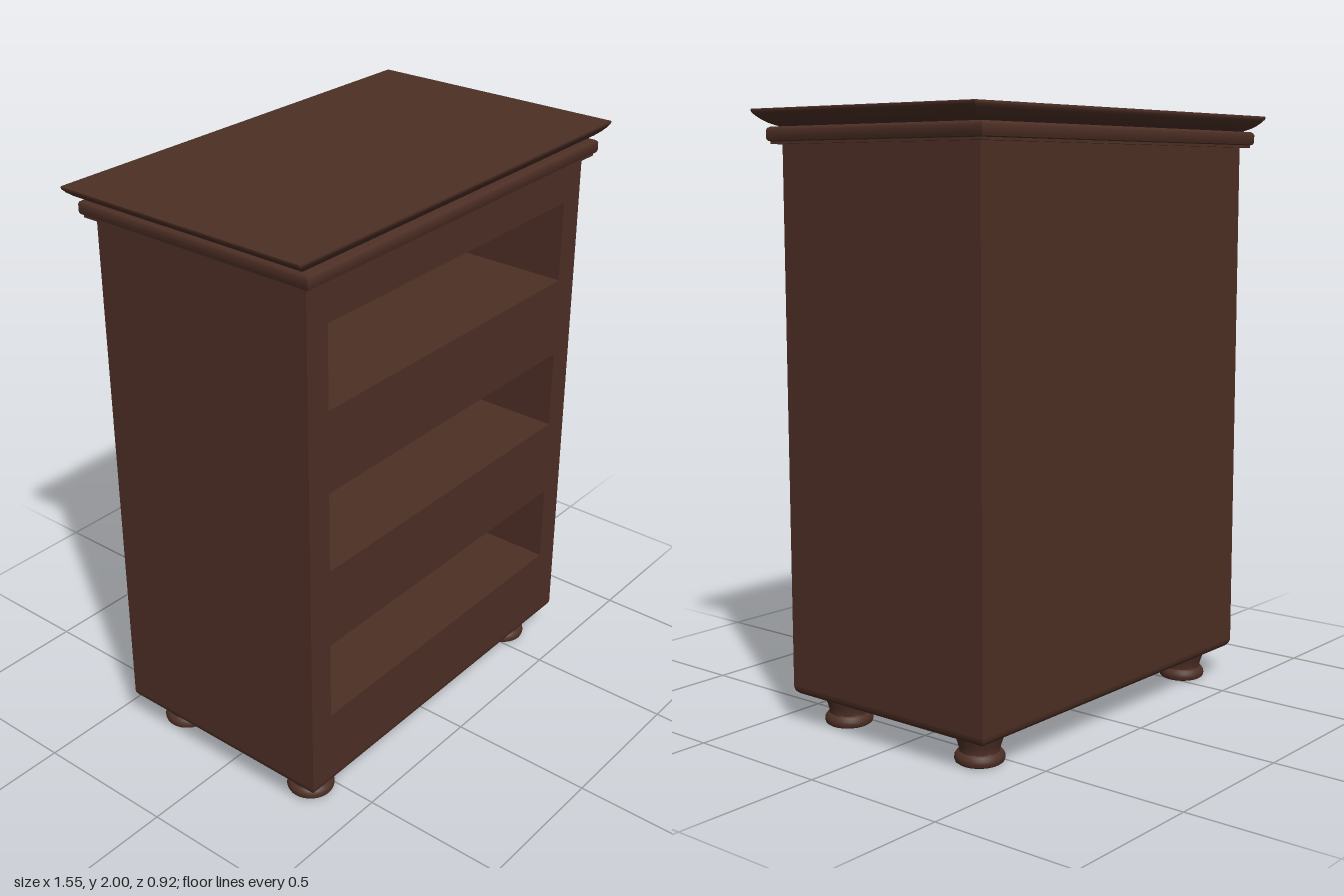
import * as THREE from 'three';
import { toCreasedNormals } from 'three/addons/utils/BufferGeometryUtils.js';

// Mitred rectangular moulding: profile rows are [half width, half depth, y], bottom to top.
function moulding(rows) {
  const corners = [[-1, 1], [1, 1], [1, -1], [-1, -1]];
  const pos = [], index = [];
  for (const [w, d, y] of rows) for (const [sx, sz] of corners) pos.push(sx * w, y, sz * d);
  for (let r = 0; r < rows.length - 1; r++) {
    for (let i = 0; i < 4; i++) {
      const a = r * 4 + i, b = r * 4 + (i + 1) % 4;
      index.push(a, b, b + 4, a, b + 4, a + 4);
    }
  }
  const t = (rows.length - 1) * 4;
  index.push(0, 2, 1, 0, 3, 2, t, t + 1, t + 2, t, t + 2, t + 3);
  const g = new THREE.BufferGeometry();
  g.setAttribute('position', new THREE.Float32BufferAttribute(pos, 3));
  g.setIndex(index);
  return toCreasedNormals(g, 0.7);
}

export function createModel() {
  const model = new THREE.Group();
  model.name = 'chestOfDrawers';
  const wood = new THREE.MeshStandardMaterial({ color: 0x4d2f25 });
  wood.name = 'darkWood';
  const add = (name, geometry, x = 0, y = 0, z = 0) => {
    const mesh = new THREE.Mesh(geometry, wood);
    mesh.name = name;
    mesh.position.set(x, y, z);
    model.add(mesh);
  };

  const W = 0.69, D = 0.41, baseTop = 0.13, bodyTop = 1.9, back = 0.04;

  // Carcass with three open drawer bays
  const shape = new THREE.Shape();
  shape.moveTo(-W, baseTop).lineTo(W, baseTop).lineTo(W, bodyTop).lineTo(-W, bodyTop).closePath();
  for (const y of [0.38, 0.93, 1.48]) {
    const bay = new THREE.Path();
    bay.moveTo(-0.6, y).lineTo(-0.6, y + 0.275).lineTo(0.6, y + 0.275).lineTo(0.6, y).closePath();
    shape.holes.push(bay);
  }
  add('carcass', new THREE.ExtrudeGeometry(shape, { depth: 2 * D - back, bevelEnabled: false }), 0, 0, -D + back);
  add('backPanel', new THREE.BoxGeometry(2 * W, bodyTop - baseTop, back), 0, (bodyTop + baseTop) / 2, -D + back / 2);

  // Base with a rounded lower edge
  const base = [], r = 0.03;
  for (let i = 0; i <= 6; i++) {
    const a = i / 6 * Math.PI / 2, inset = r * (1 - Math.sin(a));
    base.push([W - inset, D - inset, baseTop - r * Math.cos(a)]);
  }
  add('base', moulding(base));

  // Rounded collar under the top
  const collar = [[0.01, 1.892], [0.01, 1.9], [0.003, 1.903], [0, 1.91], [0, 1.935], [0.003, 1.942], [0.01, 1.946]];
  add('collar', moulding(collar.map(([i, y]) => [0.725 - i, 0.447 - i, y])));

  // Flared top slab
  const flare = [[0, 1.943], [0.12, 1.948], [0.4, 1.956], [0.65, 1.967], [0.85, 1.979], [0.97, 1.989], [1, 1.994], [1, 1.998], [0.97, 2]];
  add('top', moulding(flare.map(([t, y]) => [0.695 + 0.078 * t, 0.408 + 0.054 * t, y])));

  // Turned feet
  const profile = [[0, 0], [0.07, 0], [0.077, 0.005], [0.08, 0.014], [0.079, 0.024], [0.073, 0.033],
    [0.065, 0.038], [0.065, 0.048], [0.07, 0.065], [0.077, 0.085], [0.083, 0.104]];
  const foot = toCreasedNormals(new THREE.LatheGeometry(profile.map(([x, y]) => new THREE.Vector2(x, y)), 32), 0.6);
  for (const x of [-0.56, 0.56]) for (const z of [-0.286, 0.286]) add('foot', foot, x, 0, z);

  return model;
}
